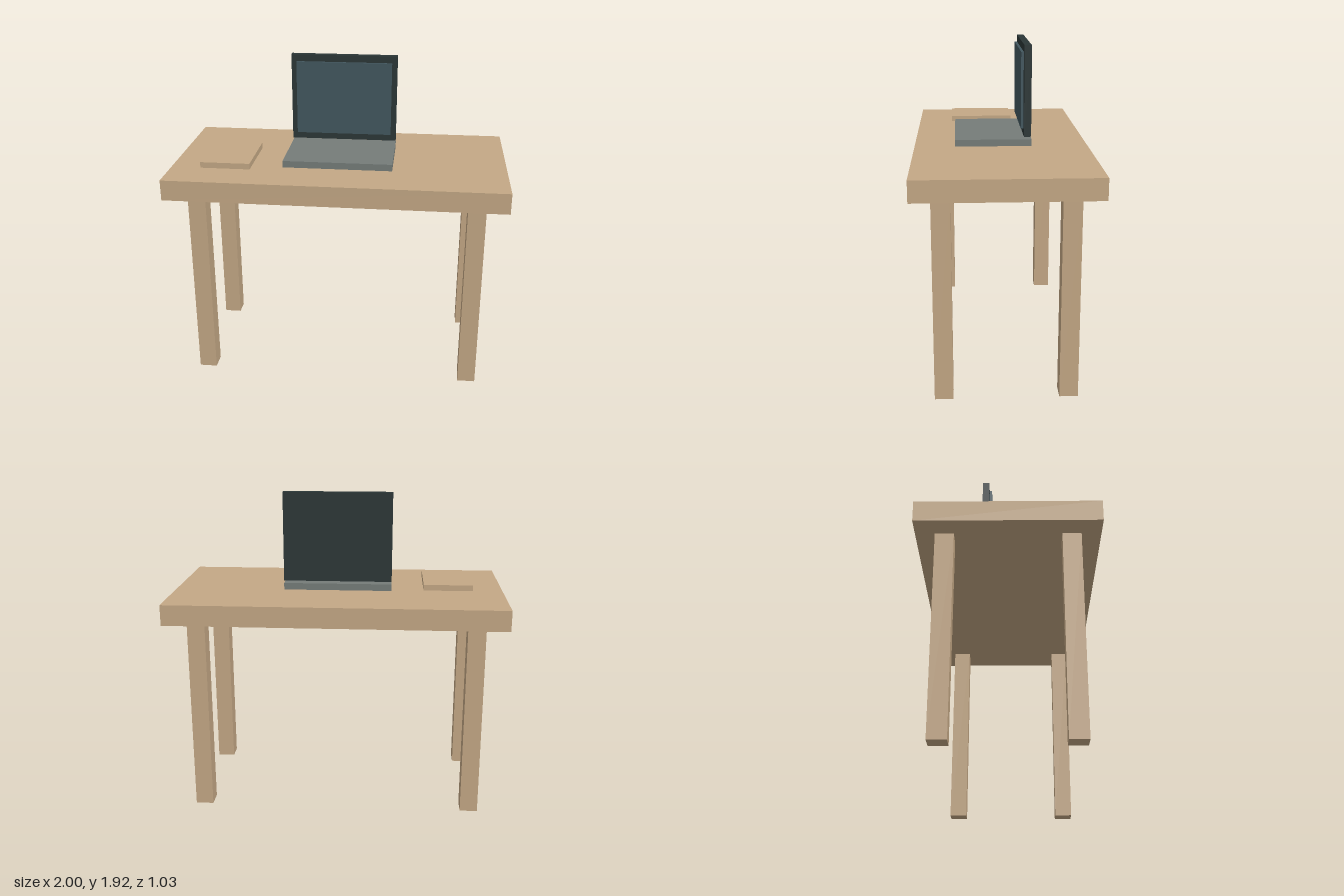
import * as THREE from 'three';

const mat = (name, color) => {
  const m = new THREE.MeshStandardMaterial({ color });
  m.name = name;
  return m;
};

export function createModel() {
  const wood = mat('tan wood', 0xc4a885);
  const grey = mat('grey casing', 0x757c79);
  const dark = mat('dark casing', 0x2b3636);
  const glass = mat('blue grey screen', 0x42575f);

  const model = new THREE.Group();
  model.name = 'deskWithLaptop';

  // Box given by its extents along each axis
  const box = (parent, name, material, [x0, x1], [y0, y1], [z0, z1]) => {
    const mesh = new THREE.Mesh(new THREE.BoxGeometry(x1 - x0, y1 - y0, z1 - z0), material);
    mesh.position.set((x0 + x1) / 2, (y0 + y1) / 2, (z0 + z1) / 2);
    mesh.name = name;
    parent.add(mesh);
  };

  // Desk: thick top on four square legs
  const desk = new THREE.Group();
  desk.name = 'desk';
  model.add(desk);
  box(desk, 'tabletop', wood, [-1, 1], [1.192, 1.315], [-0.517, 0.517]);
  const half = 0.053;
  for (const [sideName, x] of [['Left', 0.824], ['Right', -0.824]]) {
    for (const [endName, z] of [['front', 0.353], ['back', -0.353]]) {
      box(desk, `${endName}${sideName}Leg`, wood,
        [x - half, x + half], [0, 1.187], [z - half, z + half]);
    }
  }

  // Laptop: base, upright lid and raised display panel
  const laptop = new THREE.Group();
  laptop.name = 'laptop';
  model.add(laptop);
  box(laptop, 'laptopBase', grey, [-0.324, 0.324], [1.334, 1.374], [-0.174, 0.276]);
  box(laptop, 'laptopLid', dark, [-0.324, 0.324], [1.389, 1.92], [-0.171, -0.129]);
  box(laptop, 'display', glass, [-0.292, 0.292], [1.431, 1.879], [-0.127, -0.112]);

  // Notebook lying beside the laptop
  box(model, 'notebook', wood, [-0.817, -0.519], [1.322, 1.357], [-0.099, 0.301]);

  return model;
}
